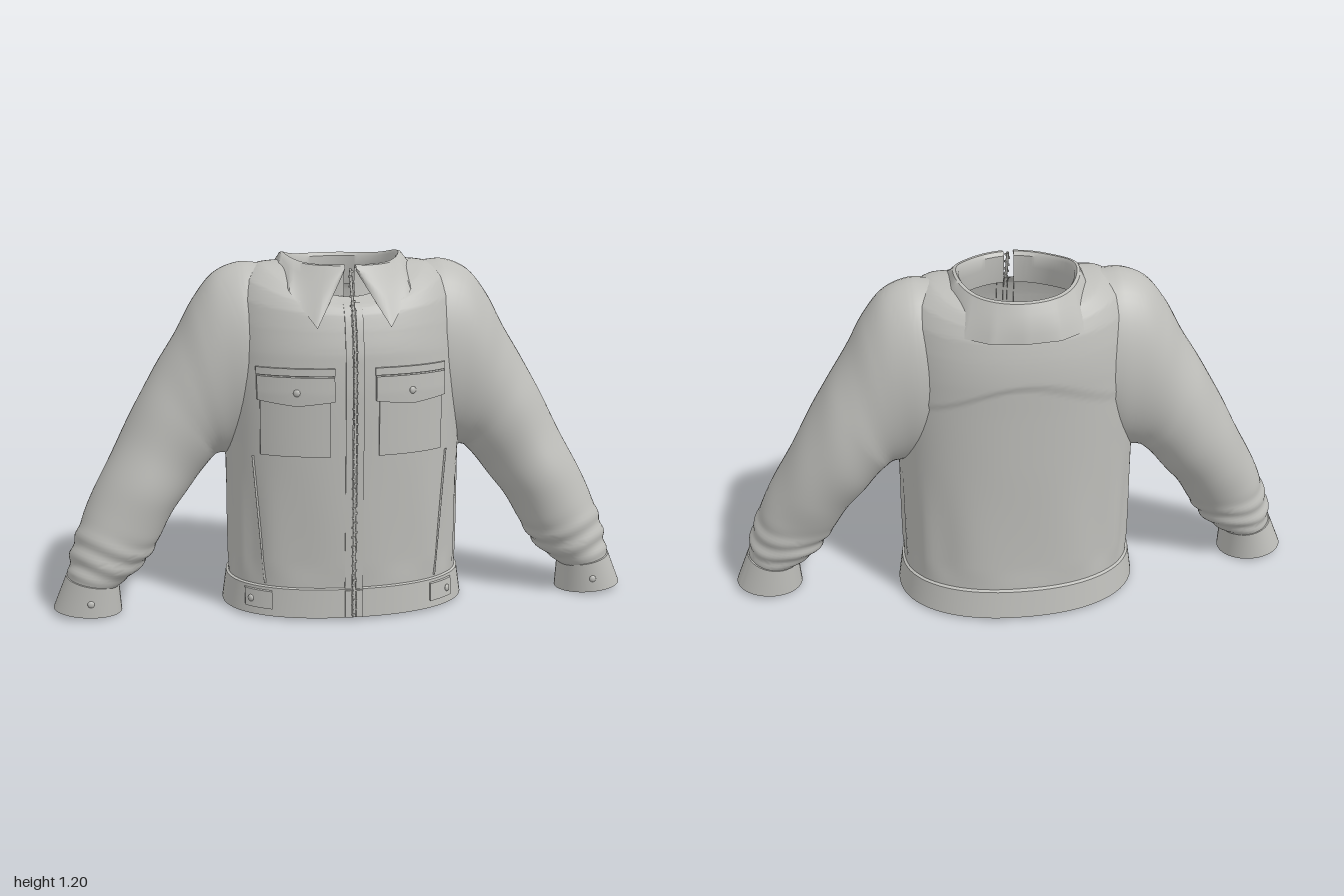
import * as THREE from 'three';
import { toCreasedNormals } from 'three/addons/utils/BufferGeometryUtils.js';

const cloth = new THREE.MeshStandardMaterial({ color: 0xbebeba, side: THREE.DoubleSide });
cloth.name = 'grey cloth';
const V = (x, y, z) => new THREE.Vector3(x, y, z);
const smooth = THREE.MathUtils.smoothstep;
const lerp = THREE.MathUtils.lerp;

function add(parent, name, geo) {
  const m = new THREE.Mesh(geo, cloth);
  m.name = name;
  parent.add(m);
  return m;
}

// Skin a list of cross-sections
function loft(rows, closed, crease = 0.7) {
  const n = rows[0].length, pos = [], idx = [];
  for (const r of rows) for (const p of r) pos.push(p.x, p.y, p.z);
  for (let i = 0; i < rows.length - 1; i++) {
    for (let j = 0; j < (closed ? n : n - 1); j++) {
      const k = (j + 1) % n, a = i * n + j, b = i * n + k, c = a + n, d = b + n;
      idx.push(a, c, b, b, c, d);
    }
  }
  const g = new THREE.BufferGeometry();
  g.setAttribute('position', new THREE.Float32BufferAttribute(pos, 3));
  g.setIndex(idx);
  return toCreasedNormals(g, crease);
}

// Body sections: half width, front z, back z, then y at side, front and back
const BODY = [
  [0.398, 0.264, 0.27, 0.1, 0.1, 0.1], [0.398, 0.268, 0.268, 0.2, 0.2, 0.2],
  [0.4, 0.278, 0.268, 0.4, 0.4, 0.4], [0.403, 0.286, 0.27, 0.58, 0.58, 0.58],
  [0.408, 0.292, 0.272, 0.78, 0.78, 0.78], [0.402, 0.288, 0.274, 0.9, 0.9, 0.9],
  [0.392, 0.272, 0.268, 1.0, 0.98, 0.99], [0.375, 0.256, 0.26, 1.08, 1.03, 1.05],
  [0.34, 0.238, 0.247, 1.14, 1.055, 1.085], [0.28, 0.215, 0.236, 1.175, 1.068, 1.11],
  [0.2, 0.185, 0.22, 1.183, 1.08, 1.13]];
const BAND = [[0.42, 0.276, 0.295, 0.01, 0.01, 0.01], [0.406, 0.272, 0.28, 0.108, 0.108, 0.108]];

const P = 0.9;
function ring([hw, zf, zb, ys, yf, yb], n = 96) {
  return Array.from({ length: n }, (_, i) => {
    const a = (i / n) * Math.PI * 2, c = Math.cos(a), s = Math.sin(a);
    return V(hw * Math.sign(c) * Math.abs(c) ** P, lerp(ys, s > 0 ? yf : yb, s * s),
      (s > 0 ? zf : -zb) * Math.abs(s) ** P);
  });
}

// Depth of the front surface at x, y
function frontZ(rows, x, y) {
  let i = 0;
  while (i < rows.length - 2 && rows[i + 1][4] < y) i++;
  const a = rows[i], b = rows[i + 1];
  const t = THREE.MathUtils.clamp((y - a[4]) / (b[4] - a[4]), 0, 1);
  const hw = lerp(a[0], b[0], t), zf = lerp(a[1], b[1], t);
  return zf * Math.max(0, 1 - Math.abs(x / hw) ** (2 / P)) ** (P / 2);
}

// Raised panel that follows the front; dip lowers the middle of its lower edge
function panel(rows, x0, x1, y0, y1, off, dip = 0, nx = 12, ny = 10) {
  const grid = [];
  for (let j = -1; j <= ny + 1; j++) {
    const row = [];
    for (let i = -1; i <= nx + 1; i++) {
      const u = THREE.MathUtils.clamp(i / nx, 0, 1), v = THREE.MathUtils.clamp(j / ny, 0, 1);
      const edge = i < 0 || j < 0 || i > nx || j > ny;
      const x = lerp(x0, x1, u), y = lerp(y0 - dip * (1 - Math.abs(2 * u - 1)), y1, v);
      row.push(V(x, y, frontZ(rows, x, y) + (edge ? -0.008 : off)));
    }
    grid.push(row);
  }
  return loft(grid, false);
}

function button(parent, x, y, z, tilt) {
  const b = add(parent, 'button', new THREE.SphereGeometry(0.012, 14, 8));
  b.scale.z = 0.55;
  b.position.set(x, y, z);
  b.rotation.y = tilt;
}

function body(g) {
  // Interpolate the sections smoothly, then press in soft folds and a back yoke step
  const A = new THREE.CatmullRomCurve3(BODY.map(r => V(r[0], r[1], r[2])));
  const B = new THREE.CatmullRomCurve3(BODY.map(r => V(r[3], r[4], r[5])));
  const rows = [];
  for (let i = 0; i <= 90; i++) {
    const p = A.getPoint(i / 90), q = B.getPoint(i / 90);
    const row = ring([p.x, p.y, p.z, q.x, q.y, q.z]);
    row.forEach((v, j) => {
      const a = (j / row.length) * Math.PI * 2;
      const low = smooth(v.y, 0.1, 0.2) * (1 - smooth(v.y, 0.25, 0.6));
      const f = 1 + 0.012 * low * Math.sin(a * 13 + 3 * Math.sin(a * 2));
      v.x *= f;
      v.z *= f;
      if (v.z < 0) {
        const hem = 0.84 + 0.05 * Math.cos(v.x * 8);
        v.z -= 0.007 * smooth(v.y, hem, hem + 0.015) * (1 - smooth(v.y, 0.95, 1.1)) * Math.abs(Math.sin(a));
      }
    });
    rows.push(row);
  }
  add(g, 'body', loft(rows, true));

  // Waistband with an inner face
  const inset = (r, y) => ring([r[0] - 0.014, r[1] - 0.014, r[2] - 0.014, y, y, y]);
  add(g, 'waistband', loft([inset(BAND[1], 0.112), inset(BAND[0], 0.01), ring(BAND[0]),
    ring(BAND[1]), inset(BAND[1], 0.115)], true));
}

function sleeve(g, s) {
  // Sections: outer x, y, inner x, y, centre z, half depth
  const K = [
    [0.28, 1.175, 0.3, 0.58, -0.01, 0.19], [0.35, 1.178, 0.33, 0.55, -0.01, 0.19],
    [0.43, 1.145, 0.37, 0.535, -0.01, 0.182], [0.5, 1.06, 0.4, 0.53, -0.01, 0.175],
    [0.56, 0.95, 0.42, 0.53, -0.012, 0.168], [0.645, 0.81, 0.44, 0.52, -0.015, 0.165],
    [0.74, 0.635, 0.5, 0.45, -0.01, 0.16], [0.83, 0.46, 0.57, 0.36, 0.015, 0.15],
    [0.9, 0.31, 0.64, 0.24, 0.035, 0.132], [0.935, 0.21, 0.69, 0.165, 0.042, 0.122],
    [0.948, 0.125, 0.775, 0.095, 0.05, 0.1]];
  const O = new THREE.CatmullRomCurve3(K.map(k => V(k[0], k[1], 0)));
  const I = new THREE.CatmullRomCurve3(K.map(k => V(k[2], k[3], 0)));
  const Z = new THREE.CatmullRomCurve3(K.map((k, i) => V(k[4], k[5], i)));
  const section = (o, i, zc, hz, w = () => 1) => Array.from({ length: 48 }, (_, j) => {
    const a = (j / 48) * Math.PI * 2, f = w(a), c = Math.cos(a) * f / 2;
    return V(s * ((o.x + i.x) / 2 + (o.x - i.x) * c), (o.y + i.y) / 2 + (o.y - i.y) * c,
      zc + hz * Math.sin(a) * f);
  });
  const rows = [];
  for (let n = 0; n <= 90; n++) {
    const t = n / 90, z = Z.getPoint(t);
    // Gentle creases on the arm, bunched folds above the cuff
    const arm = 0.016 * smooth(t, 0.4, 0.55), wrist = 0.035 * smooth(t, 0.76, 0.86) * (1 - smooth(t, 0.96, 1));
    rows.push(section(O.getPoint(t), I.getPoint(t), z.x, z.y, a =>
      1 + arm * Math.sin(34 * t + 2 * Math.sin(a + 1)) * Math.cos(a * 2 + t * 9)
      + wrist * Math.sin(85 * t + 1.5 * Math.sin(a * 2))));
  }
  add(g, 'sleeve', loft(rows, true));

  // Flared cuff with an inner face
  const to = V(0.952, 0.135, 0), ti = V(0.775, 0.1, 0), bo = V(0.998, 0.022, 0), bi = V(0.768, 0.002, 0);
  const thin = () => 0.88;
  add(g, 'cuff', loft([section(to, ti, 0.05, 0.108, thin), section(to, ti, 0.05, 0.108),
    section(bo, bi, 0.048, 0.108), section(bo, bi, 0.048, 0.108, thin),
    section(to, ti, 0.05, 0.108, thin)], true));
  button(g, s * 0.87, 0.06, 0.156, 0);
}

function collar(g) {
  // Half outline: angle from the front in degrees, then the fall's lower edge point
  const K = [[5, 0.018, 1.165, 0.185], [26, 0.12, 0.99, 0.28], [62, 0.2, 1.1, 0.19],
    [82, 0.222, 1.17, 0.05], [105, 0.224, 1.165, -0.08], [128, 0.2, 1.065, -0.225],
    [152, 0.11, 1.06, -0.275], [180, 0, 1.06, -0.287]];
  const half = [];
  for (let i = 0; i < K.length - 1; i++) {
    for (let j = 0; j < 8; j++) half.push(K[i].map((v, n) => lerp(v, K[i + 1][n], j / 8)));
  }
  half.push(K[K.length - 1]);
  const all = half.map(k => [k, 1]).concat(half.slice(0, -1).reverse().map(k => [k, -1]));
  const edge = (k, s, rx, rz, y) => {
    const a = THREE.MathUtils.degToRad(k[0]);
    return V(s * rx * Math.sin(a), y + 0.024 * Math.sin(a) ** 6, -0.03 + rz * Math.cos(a));
  };
  const fall = t => all.map(([k, s]) => {
    const p = edge(k, s, 0.205, 0.216, 1.18).lerp(V(s * k[1], k[2], k[3]), t);
    p.z += Math.sign(k[3]) * 0.03 * t * (1 - t);
    return p;
  });
  const stand = [[0.196, 0.2, 1.07], [0.188, 0.191, 1.13], [0.187, 0.19, 1.17], [0.195, 0.2, 1.182]]
    .map(r => all.map(([k, s]) => edge(k, s, ...r)));
  add(g, 'collar', loft([...stand, fall(0), fall(0.25), fall(0.5), fall(0.75), fall(1)], false));
}

function frontDetails(g, s) {
  // Chest pocket with flap and welt
  add(g, 'pocket', panel(BODY, s * 0.08, s * 0.302, 0.57, 0.78, 0.011));
  add(g, 'pocketFlap', panel(BODY, s * 0.068, s * 0.312, 0.755, 0.835, 0.021, 0.015));
  add(g, 'pocketWelt', panel(BODY, s * 0.066, s * 0.314, 0.838, 0.862, 0.012, 0, 12, 2));
  button(g, s * 0.19, 0.785, frontZ(BODY, 0.19, 0.785) + 0.023, s * 0.4);
  // Waist tab
  add(g, 'waistTab', panel(BAND, s * 0.27, s * 0.355, 0.038, 0.098, 0.014));
  button(g, s * 0.338, 0.067, frontZ(BAND, 0.338, 0.067) + 0.016, s * 0.9);
  // Placket edge and the slanted side seam
  add(g, 'placket', panel(BODY, s * 0.007, s * 0.03, 0.1, 1.065, 0.006, 0, 2, 50));
  add(g, 'placketBase', panel(BAND, s * 0.007, s * 0.03, 0.012, 0.105, 0.006, 0, 2, 2));
  const seam = [];
  for (let i = 0; i <= 12; i++) {
    const y = lerp(0.12, 0.56, i / 12), x = lerp(0.29, 0.325, i / 12);
    seam.push(V(s * x, y, frontZ(BODY, x, y) + 0.001));
  }
  add(g, 'sideSeam', new THREE.TubeGeometry(new THREE.CatmullRomCurve3(seam), 24, 0.004, 6));
}

function zipper(g) {
  // Closing tape and small teeth
  const path = [V(0, 0.014, 0.279), V(0, 0.1, 0.277)];
  for (let y = 0.15; y < 1.06; y += 0.05) path.push(V(0, y, frontZ(BODY, 0, y) + 0.006));
  path.push(V(0, 1.1, 0.217), V(0, 1.17, 0.188));
  const curve = new THREE.CatmullRomCurve3(path);
  add(g, 'zipperTape', new THREE.TubeGeometry(curve, 80, 0.005, 6));
  const teeth = new THREE.InstancedMesh ? 70 : 0;
  const tooth = new THREE.BoxGeometry(0.012, 0.006, 0.008);
  for (let i = 0; i < teeth; i++) {
    const p = curve.getPointAt((i + 0.5) / teeth);
    add(g, 'zipperTooth', tooth).position.set(i % 2 ? 0.003 : -0.003, p.y, p.z + 0.002);
  }
}

export function createModel() {
  const g = new THREE.Group();
  g.name = 'jacket';
  body(g);
  collar(g);
  zipper(g);
  for (const s of [1, -1]) {
    sleeve(g, s);
    frontDetails(g, s);
  }
  return g;
}
